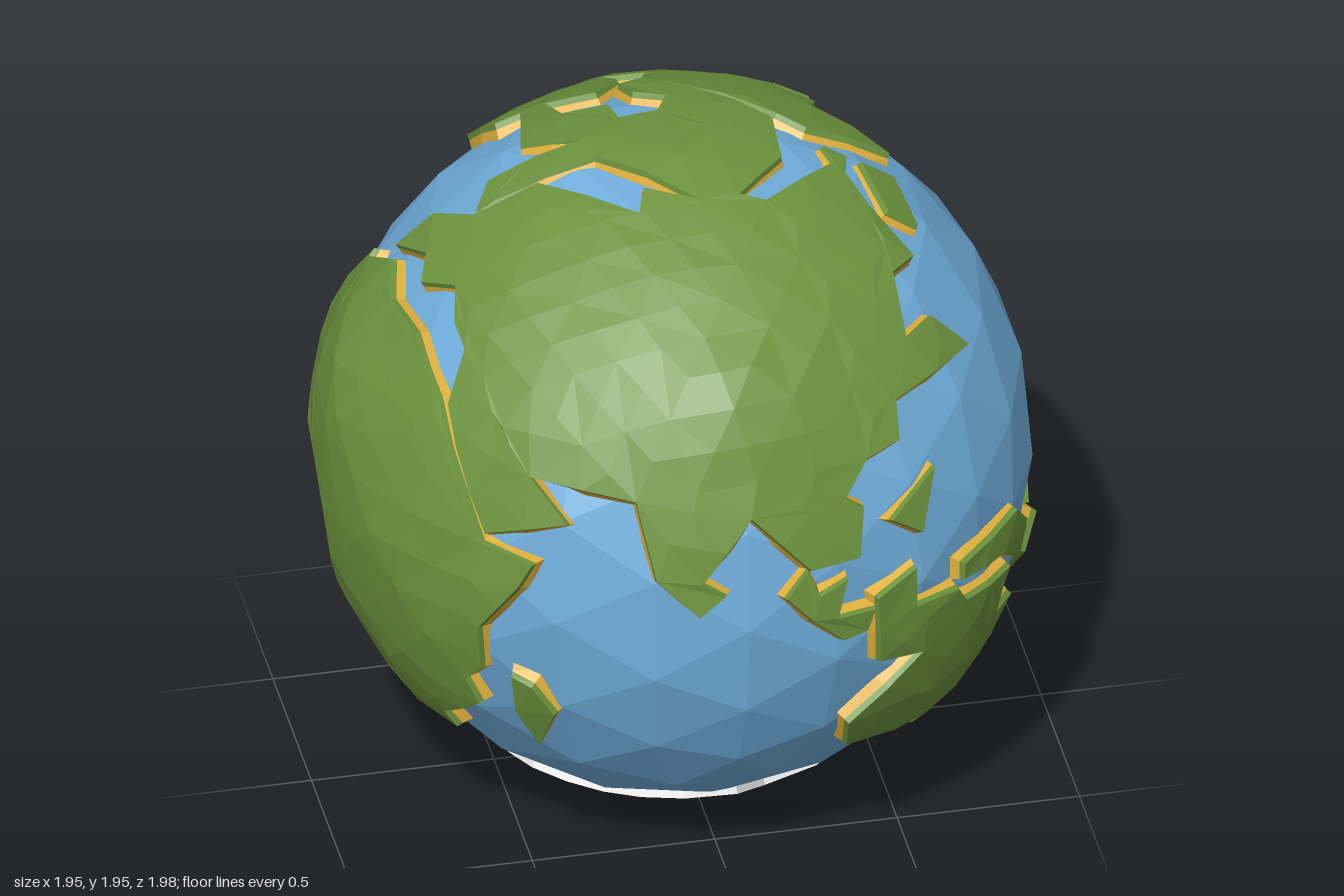
import * as THREE from 'three';

const CENTRE_Y = 0.97;
const MAX_EDGE = 0.2;
const V = (x, y, z) => new THREE.Vector3(x, y, z);

// Outlines are drawn flat (hundredths of a unit) and projected onto the globe.
// A plane is set by its heading and tilt in degrees.
function plane(heading, tilt, su = 1, sv = 1, lift = 0) {
  const t = THREE.MathUtils.degToRad(heading), p = THREE.MathUtils.degToRad(tilt);
  const right = V(Math.cos(t), 0, -Math.sin(t));
  const up = V(-Math.sin(t) * Math.sin(p), Math.cos(p), -Math.cos(t) * Math.sin(p));
  const out = V(Math.sin(t) * Math.cos(p), Math.sin(p), Math.cos(t) * Math.cos(p));
  return (...n) => {
    const pts = [];
    for (let i = 0; i < n.length; i += 2) {
      const u = su * n[i] / 100, v = sv * (n[i + 1] - lift) / 100;
      const d = Math.sqrt(Math.max(0, 0.97 - u * u - v * v));
      pts.push(V(0, 0, 0).addScaledVector(right, u).addScaledVector(up, v).addScaledVector(out, d).normalize());
    }
    return pts;
  };
}
const F = plane(0, 0, 1, 1, 97);      // x, y on the front
const R = plane(90, 0, -1, 1, 97);    // z, y on the +x side
const T = plane(0, 90, 1, -1);        // x, z on top
const D = plane(0, -90);              // x, z underneath
const A = plane(35, 25);              // slanted: front, +x
const B = plane(215, 25);             // slanted: back, -x
const U = plane(145, -25);            // slanted: back, +x, below

const lands = {
  eurasia: [
    ...T(1, 27, -13, 20, -16, 28, -39, 4, -50, 2, -56, 2, -64, -10, -74, -13, -69, 2, -72, 10, -65, 20, -67, 30, -66, 38),
    ...F(-72, 147, -70, 130, -67, 120, -47, 128, -55, 138, -29, 136, -25, 115, -14, 104, -7, 110, -13, 114, 1, 131,
      17, 114, 31, 114, 33, 127, 28, 131, 35, 139, 45, 140, 45, 149, 70, 148),
    ...A(22, 25, 9, 24, 17, 40, 28, 40, 27, 56),
    ...T(44, 12, 46, 4, 40, 2, 42, 8, 19, 28, 12, 26)],
  arcticLand: T(-28, -40, -26, -26, -14, -23, -13, -14, -2, -15, 2, -23, -6, -28, -8, -37, -1, -40, 3, -34, 19, -18,
    28, -8, 27, 10, 12, 26, 1, 27, -23, 2, -50, 0, -57, 4, -50, -8, -24, -7, -39, -18, -36, -32, -34, -41),
  northAmerica: [
    ...T(-1, -40, 2, -50, -9, -55, -7, -45, -15, -34, -28, -39, -41, -41, -45, -58, -33, -53),
    ...B(-6, 35, -13, 23, -27, 17, -31, 7, -51, 6, -60, 18, -62, 7, -57, -4, -48, -8, -45, -21),
    ...U(68, 40, 60, 45, 51, 57, 26, 62, 4, 78, -3, 88),
    ...T(47, -50, 37, -50, 34, -40, 45, -32, 42, -24, 60, -8, 37, -6, 30, -11, 3, -34)],
  southAmerica: B(-46, -22, -6, -21, 5, -32, 19, -41, 32, -55, 27, -66, 17, -76, 5, -78, -4, -84, -13, -96,
    -30, -92, -34, -88, -28, -75, -41, -55, -45, -41, -47, -30),
  africa: [
    ...T(-79, -22, -76, -9, -79, 5, -76, 22),
    ...F(-74, 147, -71, 128, -68, 117, -56, 115, -60, 107, -69, 91, -68, 76, -71, 70, -67, 62, -73, 48, -69, 42, -76, 40),
    ...B(73, -59, 84, -38, 84, -25, 78, -17, 63, -23, 53, -13, 49, 7, 50, 24)],
  australia: [
    ...F(36, 100, 48, 104, 48, 92, 61, 90, 64, 84, 79, 82),
    ...R(59, 76, 57, 68, 42, 63, 42, 48, 34, 32),
    ...F(61, 37, 56, 30, 53, 32, 55, 40, 45, 42, 30, 45, 29, 57, 50, 75, 37, 78)],
  southEastIslands: F(10, 107, 16, 114, 19, 106, 27, 109, 24, 98, 35, 97, 33, 91, 26, 90, 17, 99),
  easternIsland: F(63, 97, 82, 98, 86, 90, 84, 78, 77, 89, 63, 92),
  triangleIsland: F(41, 121, 55, 129, 50, 114),
  southWestIsland: F(-61, 77, -56, 75, -50, 66, -52, 51, -59, 64),
  northEastIsland: T(50, 4, 59, 4, 62, 21, 54, 21),
  southernIsland: R(12, 40, 2, 43, 2, 22, 13, 19, 22, 25),
  oceanIsland: R(30, 80, 20, 74, 21, 57, 31, 68),
  smallOceanIsland: R(11, 70, 2, 73, 2, 64),
  gulfIsland: B(-47, -2, -34, -2, -28, -14, -42, -14),
  smallGulfIsland: B(-64, -34, -56, -35, -59, -41),
};
const southernBeach = R(2, 43, -11, 43, -1, 34, 2, 25);
const iceCap = D(-47, 33, -30, 46, -20, 48, -8, 50, 5, 57, 15, 46, 30, 43, 48, 22, 51, 10, 50, -5, 51, -18,
  27, -47, 20, -42, 5, -51, -3, -43, -26, -45, -48, -20, -52, 6, -55, 15);

// Gentle bumps plus a few broad mountain ranges: [direction, height]
const peaks = [[V(0.2, 0.55, -0.82), 0.05], [V(-0.95, 0.34, 0), 0.035], [V(-0.25, 0.1, -0.96), 0.03],
  [V(0, 0.62, 0.78), 0.045], [V(0.6, -0.45, 0.6), 0.02]].map(([d, h]) => [d.normalize(), h]);
function landHeight(v) {
  let r = 0.988 - 0.008 * Math.max(0, v.y) ** 4;
  r += 0.007 * Math.sin(11 * v.x + 2) * Math.sin(13 * v.y + 1) * Math.sin(12 * v.z);
  for (const [d, h] of peaks) r += h * Math.exp(-v.distanceToSquared(d) / 0.04);
  return r;
}

const middle = (a, b) => a.clone().add(b).normalize();

// Split outline edges until all are short
function splitEdge(a, b) {
  if (a.distanceTo(b) <= MAX_EDGE) return [a];
  const m = middle(a, b);
  return [...splitEdge(a, m), ...splitEdge(m, b)];
}

// Halve the longest edge until a triangle is small enough to follow the globe
function splitTriangle(a, b, c, out) {
  const ab = a.distanceTo(b), bc = b.distanceTo(c), ca = c.distanceTo(a);
  const longest = Math.max(ab, bc, ca);
  if (longest <= MAX_EDGE) out.push(a, b, c);
  else if (longest === ab) { const m = middle(a, b); splitTriangle(a, m, c, out); splitTriangle(m, b, c, out); }
  else if (longest === bc) { const m = middle(b, c); splitTriangle(a, b, m, out); splitTriangle(a, m, c, out); }
  else { const m = middle(c, a); splitTriangle(a, b, m, out); splitTriangle(m, b, c, out); }
}

function facets(points, material, name) {
  const geometry = new THREE.BufferGeometry().setFromPoints(points);
  geometry.computeVertexNormals();
  const mesh = new THREE.Mesh(geometry, material);
  mesh.name = name;
  return mesh;
}

// Raised plate with a flared rim: top and upper rim in one material, lower rim in another
function plate(name, outline, height, topMaterial, baseMaterial, flare) {
  const n = outline.reduce((s, p) => s.add(p), V(0, 0, 0)).normalize();
  const e1 = V(0.31, 0.2, 0.93).cross(n).normalize(), e2 = n.clone().cross(e1);
  const flatten = p => new THREE.Vector2(p.dot(e1), p.dot(e2)).divideScalar(1 + p.dot(n));
  const ring = outline.flatMap((p, i) => splitEdge(p, outline[(i + 1) % outline.length]));
  if (THREE.ShapeUtils.area(ring.map(flatten)) < 0) ring.reverse();

  const directions = [];
  for (const [i, j, k] of THREE.ShapeUtils.triangulateShape(ring.map(flatten), [])) {
    const [a, b, c] = [ring[i], ring[j], ring[k]];
    const turn = flatten(b).sub(flatten(a)).cross(flatten(c).sub(flatten(a)));
    if (turn > 0) splitTriangle(a, b, c, directions);
    else splitTriangle(a, c, b, directions);
  }
  const top = directions.map(p => p.clone().multiplyScalar(height(p))), base = [];

  // Three rings: foot in the water, colour line, top edge
  const count = ring.length;
  const outward = ring.map((p, i) => {
    const before = p.clone().sub(ring[(i + count - 1) % count]).normalize();
    const after = ring[(i + 1) % count].clone().sub(p).normalize();
    return before.add(after).cross(p).normalize();
  });
  const level = (radius, spread) => ring.map((p, i) =>
    p.clone().multiplyScalar(radius(p)).addScaledVector(outward[i], spread));
  const foot = level(() => 0.925, flare), line = level(p => height(p) - 0.016, flare * 0.2), edge = level(height, 0);
  const wall = (out, low, high) => low.forEach((a, i) => {
    const j = (i + 1) % count;
    out.push(a, low[j], high[j], a, high[j], high[i]);
  });
  wall(base, foot, line);
  wall(top, line, edge);

  const group = new THREE.Group();
  group.name = name;
  group.add(facets(top, topMaterial, name + 'Top'), facets(base, baseMaterial, name + 'Base'));
  return group;
}

function paint(name, color) {
  const material = new THREE.MeshStandardMaterial({ color });
  material.name = name;
  return material;
}

export function createModel() {
  const water = paint('water blue', 0x70aedc), grass = paint('grass green', 0x6c923d);
  const sand = paint('sand yellow', 0xe0b03c), ice = paint('ice white', 0xe0e0e0);
  const model = new THREE.Group();
  model.name = 'globe';

  // Faceted ocean ball
  const ball = new THREE.IcosahedronGeometry(0.96, 3);
  ball.computeVertexNormals();
  const ocean = new THREE.Mesh(ball, water);
  ocean.name = 'ocean';
  model.add(ocean);

  // Continents, islands, the bare beach and the southern ice
  for (const [name, outline] of Object.entries(lands)) {
    model.add(plate(name, outline, landHeight, grass, sand, 0.03));
  }
  model.add(plate('southernBeach', southernBeach, () => 0.982, sand, sand, 0));
  model.add(plate('iceCap', iceCap, () => 0.972, ice, ice, 0));

  model.children.forEach(part => { part.position.y = CENTRE_Y; });
  return model;
}
